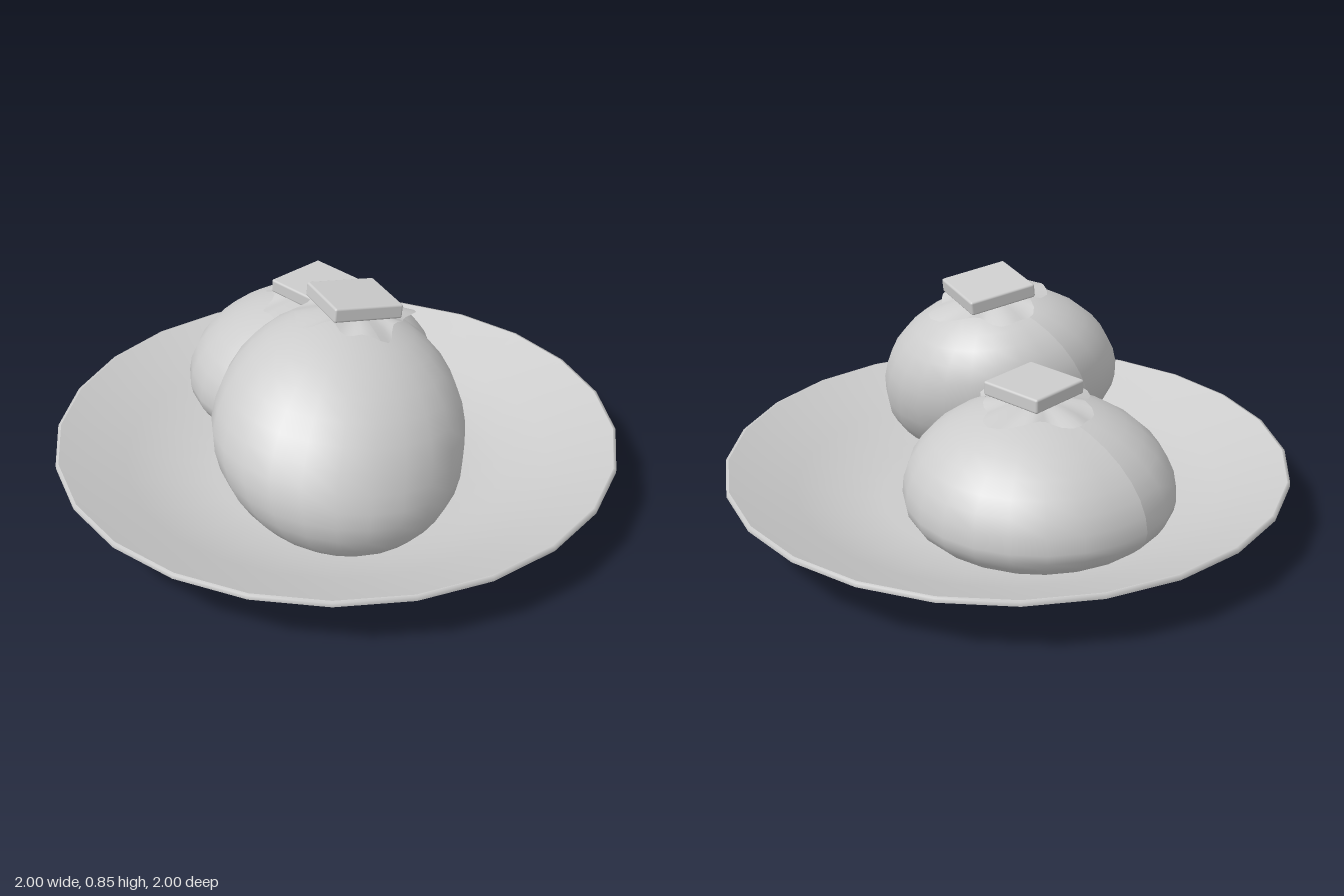
import * as THREE from 'three';
import { RoundedBoxGeometry } from 'three/addons/geometries/RoundedBoxGeometry.js';

const clay = new THREE.MeshStandardMaterial({ color: 0xcccccc, side: THREE.DoubleSide });
clay.name = 'light grey';

function part(name, geometry, parent) {
  const mesh = new THREE.Mesh(geometry, clay);
  mesh.name = name;
  parent.add(mesh);
  return mesh;
}

// One smooth lathe strip; separate strips keep the edges between them sharp
function strip(name, points, parent) {
  return part(name, new THREE.LatheGeometry(points.map(p => new THREE.Vector2(...p)), 24), parent);
}

function makePlate() {
  const plate = new THREE.Group();
  plate.name = 'plate';
  strip('footRecess', [[0, 0.02], [0.44, 0.02]], plate);
  strip('footInnerWall', [[0.44, 0.02], [0.44, 0]], plate);
  strip('footRing', [[0.44, 0], [0.475, 0]], plate);
  strip('footOuterWall', [[0.475, 0], [0.475, 0.03]], plate);
  strip('plateUnderside', [[0.475, 0.028], [0.6, 0.045], [0.76, 0.1], [1, 0.203]], plate);
  strip('plateRim', [[1, 0.203], [1, 0.218], [0.99, 0.22]], plate);
  strip('plateInside', [[0.99, 0.22], [0.76, 0.125], [0.6, 0.075], [0.45, 0.058], [0, 0.055]], plate);
  return plate;
}

// Squashed sphere: a ring spanned by ax and az, with its poles at up and down
function fruitBody({ ax, az, up, down }) {
  const geometry = new THREE.SphereGeometry(1, 24, 18);
  const pos = geometry.attributes.position, nor = geometry.attributes.normal;
  const p = new THREE.Vector3(), n = new THREE.Vector3();
  const [X, Z, U, D] = [ax, az, up, down].map(v => new THREE.Vector3(...v));
  const frames = [U, D.clone().negate()].map(Y => {
    const m = new THREE.Matrix4().makeBasis(X, Y, Z);
    return { m, normal: new THREE.Matrix3().getNormalMatrix(m) };
  });
  for (let i = 0; i < pos.count; i++) {
    const frame = frames[pos.getY(i) >= -1e-6 ? 0 : 1];
    p.fromBufferAttribute(pos, i).applyMatrix4(frame.m);
    n.fromBufferAttribute(nor, i).applyMatrix3(frame.normal).normalize();
    pos.setXYZ(i, p.x, p.y, p.z);
    nor.setXYZ(i, n.x, n.y, n.z);
  }
  geometry.computeVertexNormals();
  return geometry;
}

// Ruffled four-lobed leaf collar draped over the top of the fruit
function calyxGeometry() {
  const rings = 5, sides = 48;
  const geometry = new THREE.PlaneGeometry(1, 1, sides, rings);
  const pos = geometry.attributes.position;
  for (let j = 0; j <= rings; j++) {
    for (let i = 0; i <= sides; i++) {
      const a = (i / sides) * Math.PI * 2, t = 1 - j / rings;
      const edge = 0.19 + 0.028 * Math.cos(4 * a) + 0.013 * Math.cos(9 * a + 1);
      const r = t * edge;
      const ruffle = 0.009 * t * t * Math.sin(8 * a + 0.6);
      pos.setXYZ(j * (sides + 1) + i, r * Math.cos(a), 0.022 - 0.75 * r * r + ruffle, r * Math.sin(a));
    }
  }
  geometry.computeVertexNormals();
  return geometry;
}

function makeFruit(name, spec) {
  const fruit = new THREE.Group();
  fruit.name = name;
  fruit.position.set(...spec.center);
  part('fruitBody', fruitBody(spec), fruit);

  const cap = new THREE.Group();
  cap.name = 'fruitCap';
  cap.position.set(...spec.up);
  cap.rotation.set(spec.tilt, spec.yaw, 0);
  part('calyx', calyxGeometry(), cap);
  const stem = part('stem', new RoundedBoxGeometry(spec.stem, 0.05, spec.stem, 2, 0.008), cap);
  stem.position.set(...spec.stemAt);
  fruit.add(cap);
  return fruit;
}

export function createModel() {
  const model = new THREE.Group();
  model.name = 'fruitPlate';
  model.add(makePlate());
  model.add(makeFruit('uprightFruit', {
    center: [-0.31, 0.26, -0.175],
    ax: [0.458, 0, 0], az: [0, 0, 0.463], up: [0.02, 0.31, 0], down: [0, -0.2, 0],
    tilt: 0, yaw: 0, stem: 0.235, stemAt: [0.01, 0.052, 0],
  }));
  model.add(makeFruit('leaningFruit', {
    center: [0.225, 0.4, 0.21],
    ax: [0.425, -0.015, 0], az: [0, 0.055, 0.425], up: [-0.085, 0.365, -0.15], down: [0.12, -0.31, 0.12],
    tilt: -0.14, yaw: -0.37, stem: 0.245, stemAt: [0, 0.04, 0],
  }));
  return model;
}
